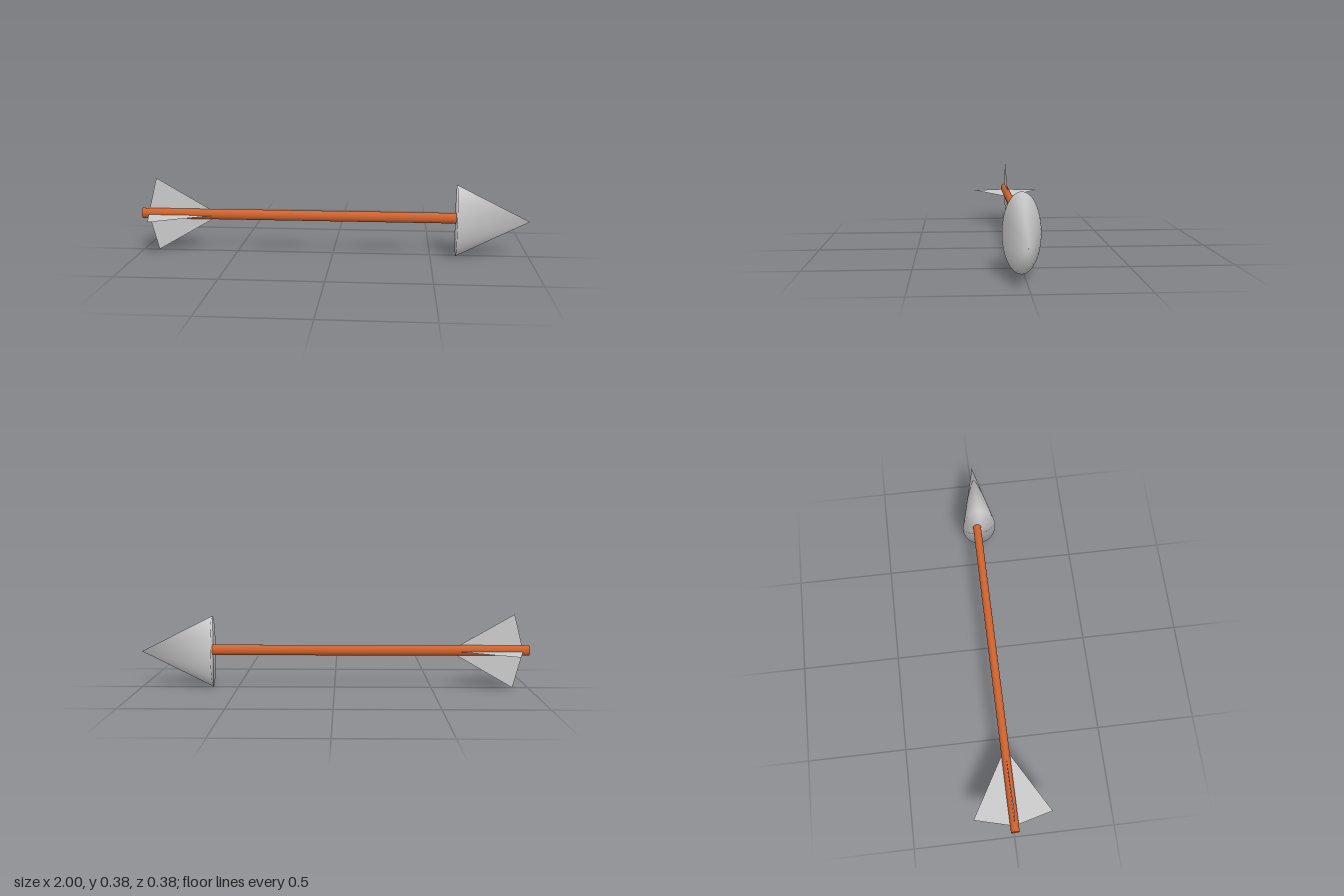
import * as THREE from 'three';
import { mergeVertices } from 'three/addons/utils/BufferGeometryUtils.js';

export function createModel() {
  const model = new THREE.Group();
  model.name = 'arrow';
  const grey = new THREE.MeshStandardMaterial({ color: 0xcccccc, side: THREE.DoubleSide });
  const orange = new THREE.MeshStandardMaterial({ color: 0xd2642f });

  const add = (name, geometry, material) => {
    const mesh = new THREE.Mesh(geometry, material);
    mesh.name = name;
    model.add(mesh);
    return mesh;
  };

  // Shaft: slightly oval rod along x
  const shaftGeometry = new THREE.CylinderGeometry(1, 1, 1.63, 32)
    .rotateZ(-Math.PI / 2)
    .scale(1, 0.027, 0.021);
  add('shaft', shaftGeometry, orange).position.set(-0.185, 0.2, -0.002);

  // Head: flattened cone, its base softly shaded into its sides
  let headGeometry = new THREE.ConeGeometry(1, 0.37, 48)
    .rotateZ(-Math.PI / 2)
    .scale(1, 0.185, 0.0875);
  headGeometry.deleteAttribute('normal');
  headGeometry.deleteAttribute('uv');
  headGeometry = mergeVertices(headGeometry, 1e-5);
  headGeometry.computeVertexNormals();
  add('head', headGeometry, grey).position.set(0.815, 0.19, 0.01);

  // Fletching: two crossed, paper-thin kites
  const kite = new THREE.Shape([
    new THREE.Vector2(-0.97, 0),
    new THREE.Vector2(-0.92, -0.191),
    new THREE.Vector2(-0.59, 0),
    new THREE.Vector2(-0.92, 0.191),
  ]);
  ['verticalFin', 'horizontalFin'].forEach((name, i) => {
    const fin = add(name, new THREE.ShapeGeometry(kite), grey);
    fin.rotation.x = (i * Math.PI) / 2;
    fin.position.set(0, 0.196, -0.002);
  });

  return model;
}
